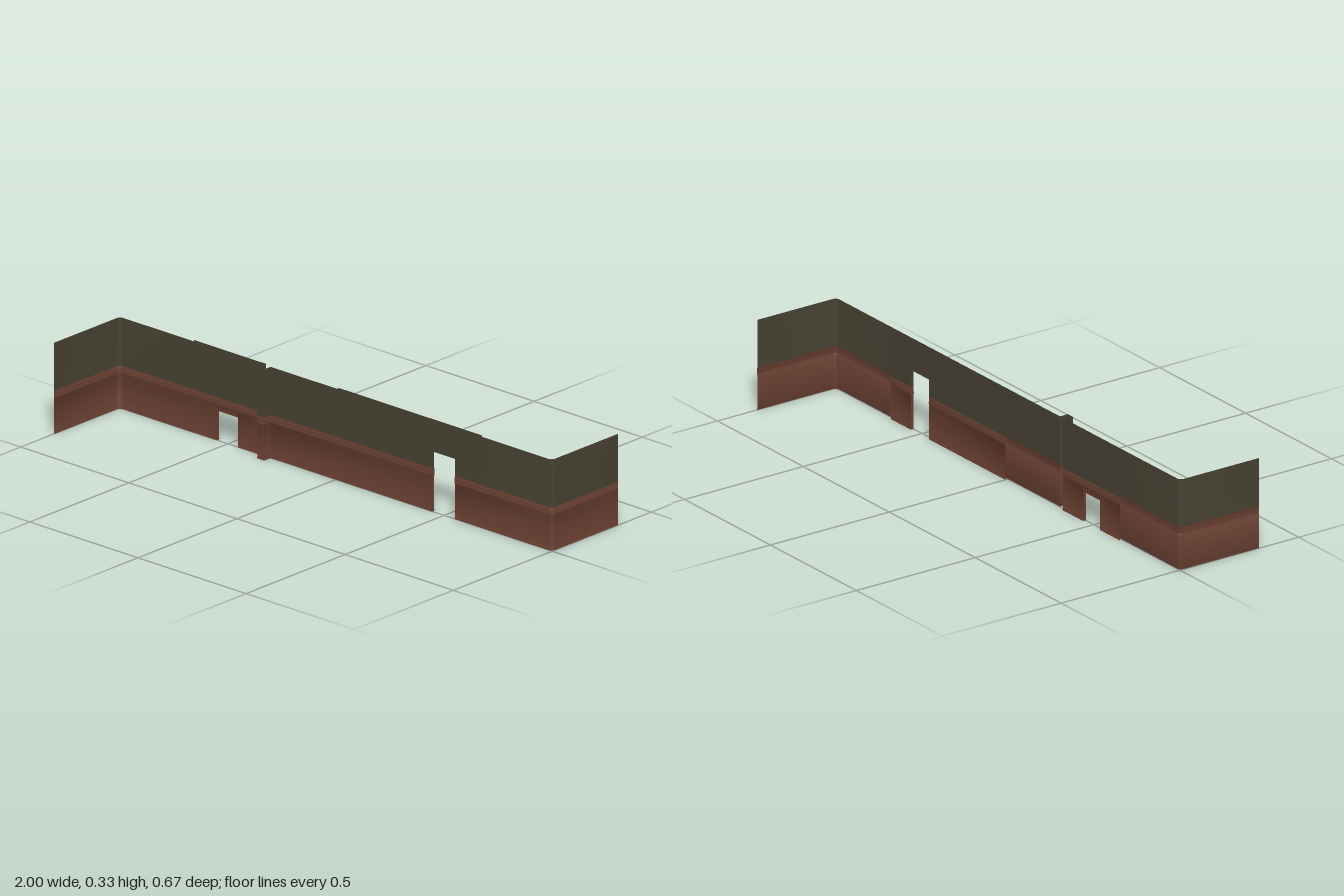
import * as THREE from 'three';
import { toCreasedNormals } from 'three/addons/utils/BufferGeometryUtils.js';

const HEIGHT = 1 / 3, SPLIT = 0.157, END = 1 / 3, BACK = -0.01;

const mat = (name, color) => {
  const m = new THREE.MeshStandardMaterial({ color, side: THREE.DoubleSide });
  m.name = name;
  return m;
};

// Height and relief of the wall section: skirting line, then dado rail
const SECTION = [[0, 0.001], [0.005, 0.001], [0.007, 0], [0.128, 0], [0.131, 0.002],
  [0.135, 0.002], [0.138, 0.001], [0.154, 0.001], [SPLIT, 0], [HEIGHT, 0]];

// Sheet following a ground path of [x, z] points, between two heights
function sheetGeometry(path, y0, y1, relief) {
  const rows = [[y0, y0 === 0 ? 0.001 : 0],
    ...SECTION.filter(([y]) => y > y0 + 1e-6 && y < y1 - 1e-6), [y1, 0]];
  const v = path.map(([x, z]) => new THREE.Vector2(x, z));
  const normalOf = (a, b) => new THREE.Vector2(a.y - b.y, b.x - a.x).normalize();
  const normals = v.map((p, i) => {
    const a = normalOf(v[Math.max(i - 1, 0)], v[Math.max(i, 1)]);
    const last = v.length - 1;
    const b = normalOf(v[Math.min(i, last - 1)], v[Math.min(i + 1, last)]);
    return a.clone().add(b).divideScalar(1 + a.dot(b)); // mitre
  });
  const pos = [], index = [];
  v.forEach((p, i) => rows.forEach(([y, o]) =>
    pos.push(p.x + normals[i].x * o * relief, y, p.y + normals[i].y * o * relief)));
  const n = rows.length;
  for (let i = 0; i < v.length - 1; i++) {
    for (let j = 0; j < n - 1; j++) {
      const a = i * n + j, b = a + n;
      index.push(a, b, b + 1, a, b + 1, a + 1);
    }
  }
  const g = new THREE.BufferGeometry();
  g.setAttribute('position', new THREE.Float32BufferAttribute(pos, 3));
  g.setIndex(index);
  return toCreasedNormals(g, Math.PI / 5);
}

// Quarter round between two wall directions
function corner(cx, cz, r, from, to) {
  return Array.from({ length: 5 }, (_, i) => {
    const a = from + (to - from) * i / 4;
    return [cx + r * Math.cos(a), cz + r * Math.sin(a)];
  });
}

export function createModel() {
  const group = new THREE.Group();
  const brown = mat('brown dado', 0x693f31);
  const green = mat('dark olive wall', 0x464132);

  const add = (name, geometry, material) => {
    const mesh = new THREE.Mesh(geometry, material);
    mesh.name = name;
    group.add(mesh);
  };
  // Two-coloured sheet, split at the dado line
  const wall = (name, path, y0 = 0, y1 = HEIGHT, relief = 1) => {
    if (y0 < SPLIT) add(name + 'Lower', sheetGeometry(path, y0, Math.min(y1, SPLIT), relief), brown);
    if (y1 > SPLIT) add(name + 'Upper', sheetGeometry(path, Math.max(y0, SPLIT), y1, relief), green);
  };

  const hatch = { name: 'hatch', x0: -0.55, x1: -0.453, top: 0.108, from: -2 / 3, to: -1 / 3 };
  const door = { name: 'door', x0: 0.445, x1: 0.55, top: 0.22, from: 0, to: 2 / 3 };
  const r = 0.016;

  // Front skin: left return, middle run with pilaster, right return
  wall('westWall', [[-1, END], ...corner(-1 + r, r, r, Math.PI, Math.PI * 1.5), [hatch.x0, 0]]);
  wall('middleWall', [[hatch.x1, 0], [-1 / 3, 0], [-1 / 3, 0.033], [-0.302, 0.033],
    [-0.302, 0], [door.x0, 0]]);
  wall('eastWall', [[door.x1, 0], ...corner(0.998 - r, -r, r, Math.PI / 2, 0), [0.998, -END]]);

  // Panels with openings: lintel, back skin and reveals
  for (const o of [hatch, door]) {
    wall(o.name + 'Lintel', [[o.x0, 0], [o.x1, 0]], o.top);
    wall(o.name + 'BackLintel', [[o.x0, BACK], [o.x1, BACK]], o.top, HEIGHT, -1);
    wall(o.name + 'BackWest', [[o.from, BACK], [o.x0, BACK]], 0, HEIGHT, -1);
    wall(o.name + 'BackEast', [[o.x1, BACK], [o.to, BACK]], 0, HEIGHT, -1);
    for (const x of [o.x0, o.x1]) wall(o.name + 'Jamb', [[x, 0], [x, BACK]], 0, o.top, 0);
    const head = new THREE.PlaneGeometry(o.x1 - o.x0, -BACK).rotateX(Math.PI / 2);
    head.translate((o.x0 + o.x1) / 2, o.top, BACK / 2);
    add(o.name + 'Head', head, brown);
  }
  return group;
}
